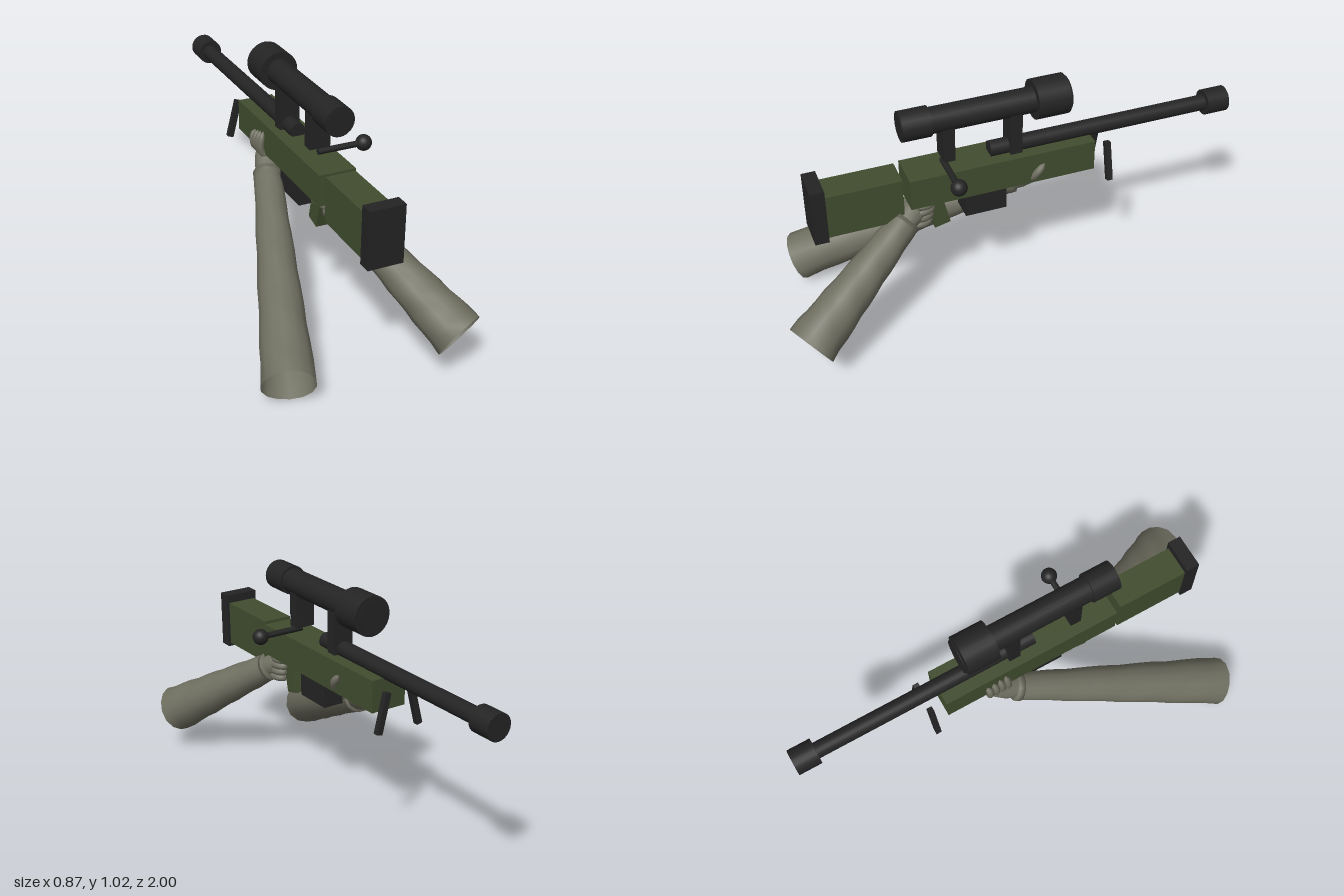
import * as THREE from 'three';

const material = (name, color, side = THREE.FrontSide) => {
  const m = new THREE.MeshStandardMaterial({ color, side });
  m.name = name;
  return m;
};

// Loft of round rings along [x, y, z, radius] stations; optional slight cloth ripple
function loft(stations, sides = 12, ripple = 0) {
  const pts = stations.map(s => new THREE.Vector3(s[0], s[1], s[2]));
  const pos = [], idx = [], p = new THREE.Vector3();
  pts.forEach((c, i) => {
    const dir = pts[Math.min(i + 1, pts.length - 1)].clone().sub(pts[Math.max(i - 1, 0)]).normalize();
    const u = new THREE.Vector3(1, 0, 0).addScaledVector(dir, -dir.x).normalize();
    const v = dir.clone().cross(u);
    for (let j = 0; j < sides; j++) {
      const a = j / sides * Math.PI * 2;
      const r = stations[i][3] * (1 + ripple * Math.sin(3 * a + i * 2.1));
      p.copy(c).addScaledVector(u, r * Math.cos(a)).addScaledVector(v, r * Math.sin(a));
      pos.push(p.x, p.y, p.z);
      if (i < pts.length - 1) {
        const k = (j + 1) % sides, b = i * sides;
        idx.push(b + j, b + k, b + sides + j, b + k, b + sides + k, b + sides + j);
      }
    }
  });
  const g = new THREE.BufferGeometry();
  g.setAttribute('position', new THREE.Float32BufferAttribute(pos, 3));
  g.setIndex(idx);
  g.computeVertexNormals();
  return g;
}

// Evenly spaced stations between two [x, y, z, radius] ends
const between = (a, b, n) => Array.from({ length: n + 1 }, (_, i) =>
  a.map((v, k) => v + (b[k] - v) * i / n));

export function createModel() {
  const model = new THREE.Group();
  model.name = 'rifleWithArms';
  const green = material('olive stock', 0x414d2f);
  const black = material('black metal', 0x242424);
  const cloth = material('grey sleeve', 0x6f6f61, THREE.DoubleSide);
  const X = 0.055; // rifle centre line

  const add = (name, geometry, mat, parent = model) => {
    const mesh = new THREE.Mesh(geometry, mat);
    mesh.name = name;
    parent.add(mesh);
    return mesh;
  };
  const box = (name, mat, width, y0, y1, z0, z1) => {
    const m = add(name, new THREE.BoxGeometry(width, y1 - y0, z1 - z0), mat);
    m.position.set(X, (y0 + y1) / 2, (z0 + z1) / 2);
    return m;
  };
  const tube = (name, r, y, z0, z1) => {
    const m = add(name, new THREE.CylinderGeometry(r, r, z1 - z0, 24), black);
    m.rotation.x = Math.PI / 2;
    m.position.set(X, y, (z0 + z1) / 2);
    return m;
  };

  // Stock, body and magazine
  box('buttPad', black, 0.15, 0.515, 0.762, 0.78, 0.838);
  box('buttStock', green, 0.13, 0.53, 0.725, 0.465, 0.78);
  box('body', green, 0.16, 0.585, 0.722, -0.36, 0.44);
  box('magazine', black, 0.1, 0.465, 0.6, 0.02, 0.2);
  const grip = box('grip', green, 0.07, 0.435, 0.61, 0.282, 0.352);
  grip.rotation.x = 0.23;

  // Barrel and scope
  tube('barrel', 0.034, 0.743, -0.92, 0.08);
  tube('muzzle', 0.055, 0.743, -1, -0.9);
  tube('scopeTube', 0.054, 0.938, -0.12, 0.34);
  tube('eyepiece', 0.063, 0.938, 0.33, 0.45);
  tube('eyeLens', 0.054, 0.938, 0.45, 0.452);
  tube('objective', 0.084, 0.938, -0.247, -0.108);
  tube('objectiveLens', 0.072, 0.938, -0.257, -0.254);
  box('frontMount', black, 0.09, 0.72, 0.91, -0.05, 0);
  box('rearMount', black, 0.09, 0.755, 0.91, 0.237, 0.285);

  // Bolt handle
  const bolt = add('boltHandle', new THREE.CylinderGeometry(0.013, 0.013, 0.19, 12), black);
  bolt.rotation.z = Math.PI / 2;
  bolt.position.set(0.145, 0.738, 0.277);
  add('boltKnob', new THREE.SphereGeometry(0.034, 20, 14), black).position.set(0.255, 0.738, 0.277);

  // Splayed bipod legs
  for (const s of [-1, 1]) {
    const leg = add('bipodLeg', new THREE.BoxGeometry(0.026, 0.172, 0.024), black);
    leg.position.set(X + s * 0.078, 0.608, -0.425);
    leg.rotation.z = s * 0.24;
  }

  // Open sleeves with cuffs
  const arm = (name, elbow, wrist) => {
    const g = new THREE.Group();
    g.name = name;
    model.add(g);
    add('sleeve', loft(between(elbow, wrist, 12), 14, 0.025), cloth, g);
    const cuff = between(wrist, elbow, 40).slice(0, 2);
    add('cuff', loft([cuff[1], cuff[0]].flatMap((c, i) => {
      const wide = [c[0], c[1], c[2], 0.063], flat = [...wide];
      flat[3] = 0.03;
      const nudge = between(wrist, elbow, 200)[1].map((v, k) => (v - wrist[k]) * (i ? -1 : 1));
      for (let k = 0; k < 3; k++) flat[k] += nudge[k];
      return i ? [wide, flat] : [flat, wide];
    }), 14), cloth, g);
    return g;
  };
  const fingers = (parent, name, r, points) => {
    const curve = new THREE.CatmullRomCurve3(points.map(p => new THREE.Vector3(...p)));
    const stations = curve.getPoints(10).map((p, i) =>
      [p.x, p.y, p.z, r * (i === 0 || i === 10 ? 0.05 : i === 1 || i === 9 ? 0.8 : 1)]);
    add(name, loft(stations, 8), cloth, parent);
  };

  // Supporting arm: hand under the fore-end, fingers up the side
  const support = arm('supportArm', [-0.335, 0.1, 0.84, 0.107], [-0.025, 0.508, -0.05, 0.058]);
  add('supportHand', loft([
    [-0.025, 0.505, -0.04, 0.05], [-0.012, 0.522, -0.08, 0.054], [0.005, 0.55, -0.115, 0.056],
    [0.02, 0.585, -0.13, 0.054], [0.03, 0.62, -0.135, 0.045], [0.032, 0.64, -0.135, 0.002]], 12), cloth, support);
  for (let i = 0; i < 4; i++) {
    const z = -0.085 - i * 0.028;
    fingers(support, 'supportFinger', 0.015,
      [[0.01, 0.57, z + 0.01], [-0.03, 0.585, z], [-0.04, 0.63, z], [-0.025, 0.685 - 0.008 * i, z - 0.005]]);
  }
  fingers(support, 'supportThumb', 0.017,
    [[0.06, 0.57, -0.13], [0.115, 0.595, -0.135], [0.137, 0.63, -0.12], [0.137, 0.67, -0.085]].map(
      ([x, y, z]) => [x, y, -0.22 - z]));

  // Firing arm: fist closed around the grip
  const firing = arm('firingArm', [0.338, 0.193, 0.937, 0.107], [0.105, 0.515, 0.455, 0.06]);
  add('firingHand', loft([
    [0.105, 0.515, 0.46, 0.048], [0.09, 0.53, 0.43, 0.053], [0.07, 0.54, 0.4, 0.055],
    [0.05, 0.545, 0.375, 0.048], [0.035, 0.548, 0.355, 0.002]], 12), cloth, firing);
  for (let i = 0; i < 4; i++) {
    const y = 0.575 - i * 0.029, z = 0.006 * i;
    fingers(firing, 'firingFinger', 0.016,
      [[0.1, y, 0.425 + z], [0.118, y, 0.385 + z], [0.105, y, 0.345 + z], [0.08, y, 0.335 + z]]);
  }
  fingers(firing, 'firingThumb', 0.018,
    [[0.06, 0.55, 0.42], [0.015, 0.565, 0.39], [0.005, 0.57, 0.35], [0.015, 0.565, 0.31]]);

  return model;
}
